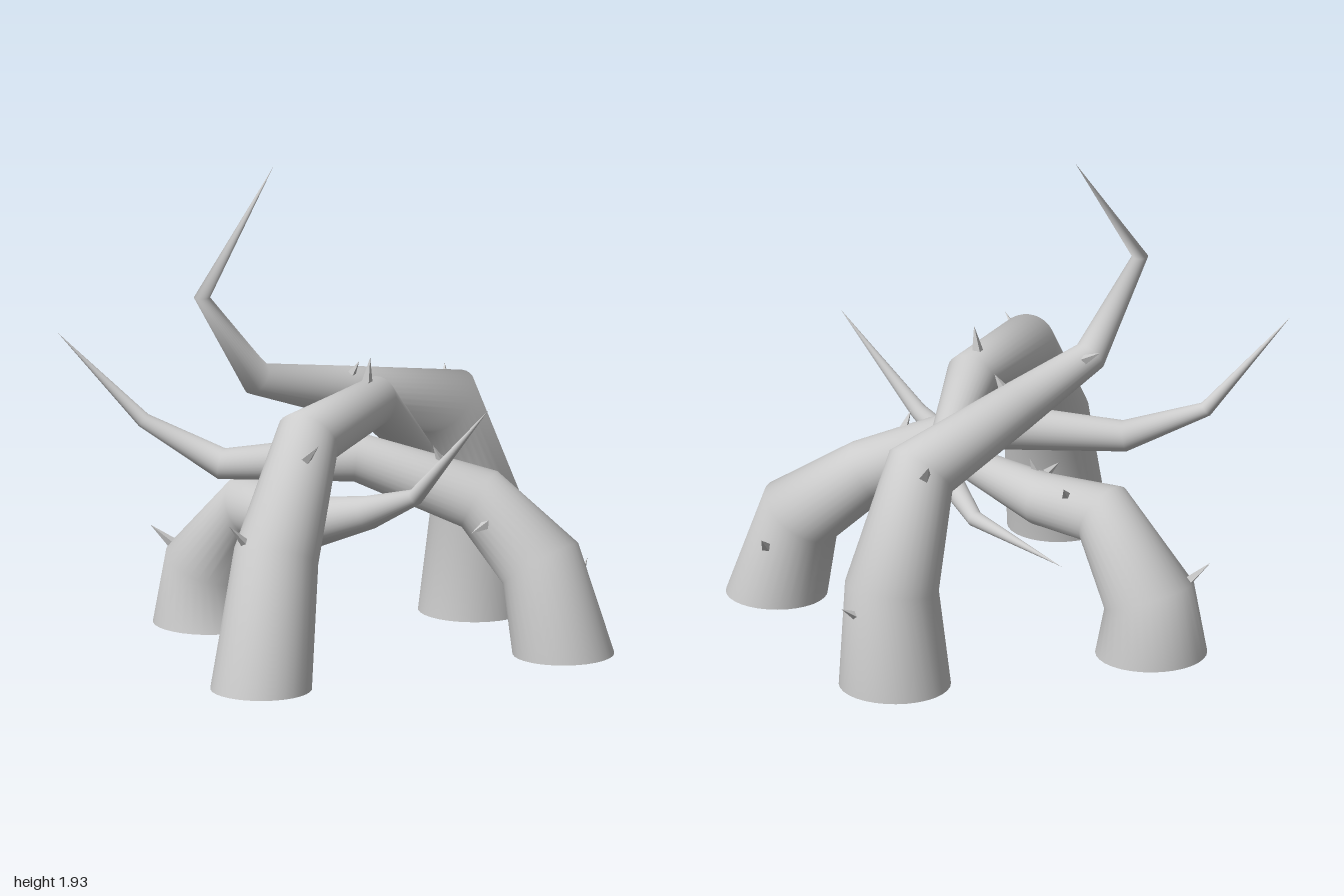
import * as THREE from 'three';

const SIDES = 32;
const vec = (p) => new THREE.Vector3(p[0], p[1], p[2]);

// Each vine: centre points with radius [x, y, z, r], and thorns [base, tip]
const VINES = {
  frontRightVine: {
    path: [[-0.495, 0.05, 0.71, 0.2], [-0.41, 0.56, 0.63, 0.168], [-0.21, 0.96, 0.39, 0.13], [0.15, 1.01, 0.09, 0.1],
      [0.38, 0.75, -0.12, 0.062], [0.38, 0.65, -0.47, 0.032], [0.2, 0.58, -0.91, 0]],
    thorns: [[[-0.27, 0.91, 0.55], [-0.25, 1.0, 0.67]], [[-0.53, 0.61, 0.66], [-0.62, 0.71, 0.69]],
      [[0.11, 1.1, 0.12], [0.12, 1.2, 0.13]], [[0.38, 0.8, -0.1], [0.37, 0.88, -0.12]]],
  },
  frontLeftVine: {
    path: [[0.797, 0.05, 0.51, 0.2], [0.725, 0.4, 0.44, 0.168], [0.54, 0.62, 0.22, 0.13], [0.08, 0.79, 0.09, 0.097],
      [-0.41, 0.745, -0.13, 0.062], [-0.67, 0.89, -0.33, 0.03], [-1, 1.25, -0.4, 0]],
    thorns: [[[0.89, 0.29, 0.39], [0.96, 0.37, 0.29]], [[0.52, 0.56, 0.39], [0.44, 0.54, 0.44]],
      [[0.39, 0.77, 0.21], [0.35, 0.85, 0.22]], [[0.28, 0.61, 0.13], [0.21, 0.57, 0.13]],
      [[-0.2, 0.73, 0.05], [-0.28, 0.72, 0.085]]],
  },
  backLeftVine: {
    path: [[0.712, 0, -0.445, 0.22], [0.72, 0.41, -0.435, 0.185], [0.58, 0.86, -0.4, 0.147], [0.1, 0.98, -0.22, 0.1],
      [-0.28, 1.09, -0.09, 0.067], [-0.52, 1.45, -0.03, 0.032], [-0.2, 1.93, -0.13, 0]],
    thorns: [[[0.62, 0.89, -0.53], [0.64, 0.96, -0.61]], [[0.88, 0.32, -0.48], [0.96, 0.37, -0.49]],
      [[-0.22, 1.1, -0.15], [-0.25, 1.17, -0.26]], [[0.13, 1.05, -0.18], [0.16, 1.11, -0.16]]],
  },
  backRightVine: {
    path: [[-0.34, 0, -0.547, 0.22], [-0.33, 0.24, -0.55, 0.183], [-0.23, 0.52, -0.33, 0.132], [-0.09, 0.5, -0.04, 0.105],
      [0.1, 0.59, 0.19, 0.066], [0.2, 0.72, 0.49, 0.033], [0.44, 1.11, 0.7, 0]],
    thorns: [[[-0.46, 0.3, -0.62], [-0.55, 0.38, -0.65]], [[-0.11, 0.58, -0.25], [-0.07, 0.64, -0.31]],
      [[-0.14, 0.55, 0.05], [-0.25, 0.56, 0.14]], [[-0.09, 0.6, 0], [-0.06, 0.66, 0]]],
  },
};

// Tapered tube through the path: one ring per point, set square to the bend
function vineGeometry(path) {
  const pts = path.map(vec);
  const last = pts.length - 1;
  const pos = [], idx = [];
  let u = new THREE.Vector3(1, 0, 0);
  pts.forEach((p, i) => {
    const into = pts[Math.max(i, 1)].clone().sub(pts[Math.max(i, 1) - 1]).normalize();
    const out = pts[Math.min(i + 1, last)].clone().sub(pts[Math.min(i, last - 1)]).normalize();
    const t = i === 0 ? new THREE.Vector3(0, 1, 0) : into.add(out).normalize();
    u = u.clone().addScaledVector(t, -u.dot(t)).normalize();
    const v = t.clone().cross(u);
    for (let j = 0; j < SIDES; j++) {
      const a = (j / SIDES) * Math.PI * 2, r = path[i][3];
      const q = p.clone().addScaledVector(u, Math.cos(a) * r).addScaledVector(v, Math.sin(a) * r);
      pos.push(q.x, q.y, q.z);
      if (i < last) {
        const k = i * SIDES, n = (j + 1) % SIDES;
        idx.push(k + j, k + n, k + SIDES + j);
        if (i < last - 1) idx.push(k + n, k + SIDES + n, k + SIDES + j);
      }
    }
  });
  const g = new THREE.BufferGeometry();
  g.setAttribute('position', new THREE.Float32BufferAttribute(pos, 3));
  g.setIndex(idx);
  g.computeVertexNormals();
  return g;
}

// Small four-sided spike, sunk a little into the vine
function makeThorn(base, tip, material) {
  const end = vec(tip);
  const dir = end.clone().sub(vec(base));
  const length = dir.length() + 0.02;
  dir.normalize();
  const g = new THREE.ConeGeometry(0.027, length, 4);
  g.translate(0, -length / 2, 0);
  const thorn = new THREE.Mesh(g, material);
  thorn.quaternion.setFromUnitVectors(new THREE.Vector3(0, 1, 0), dir);
  thorn.position.copy(end);
  thorn.name = 'thorn';
  return thorn;
}

export function createModel() {
  const smooth = new THREE.MeshStandardMaterial({ color: 0xcccccc });
  const flat = new THREE.MeshStandardMaterial({ color: 0xcccccc, flatShading: true });
  const model = new THREE.Group();
  model.name = 'thornyVines';

  for (const [name, { path, thorns }] of Object.entries(VINES)) {
    const vine = new THREE.Group();
    vine.name = name;

    const stem = new THREE.Mesh(vineGeometry(path), smooth);
    stem.name = 'stem';

    // Flat underside of the root
    const foot = new THREE.Mesh(new THREE.CircleGeometry(path[0][3], SIDES).rotateX(Math.PI / 2), smooth);
    foot.position.copy(vec(path[0]));
    foot.name = 'rootBase';

    vine.add(stem, foot, ...thorns.map(([base, tip]) => makeThorn(base, tip, flat)));
    model.add(vine);
  }
  return model;
}
